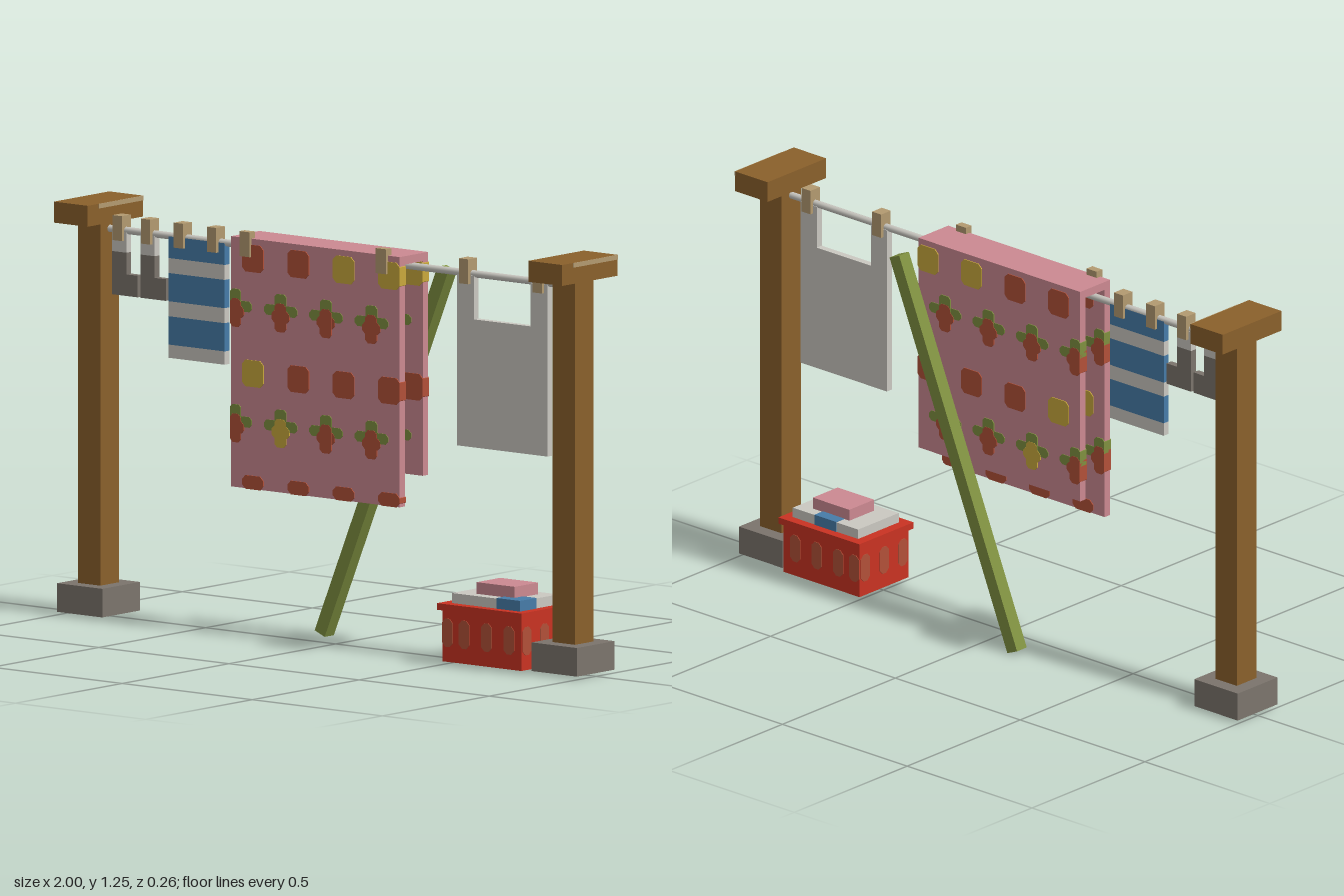
import * as THREE from 'three';

const mat = (name, color) => {
  const m = new THREE.MeshStandardMaterial({ color });
  m.name = name;
  return m;
};

export function createModel() {
  const M = {
    wood: mat('wood', 0x8a602b), stone: mat('stone grey', 0x7b746c),
    cloth: mat('pale cloth', 0xcac8c1), blue: mat('blue', 0x477ca8),
    pink: mat('pink', 0xcb8991), red: mat('basket red', 0xc93222),
    rust: mat('rust', 0xb25038), green: mat('olive green', 0x7f9040),
    yellow: mat('mustard', 0xc9a83c), tan: mat('peg tan', 0xb39a70),
  };
  const root = new THREE.Group();
  root.name = 'clothesline';

  const add = (name, geo, m, parent = root) => {
    const mesh = new THREE.Mesh(geo, m);
    mesh.name = name;
    parent.add(mesh);
    return mesh;
  };
  // Box given by its limits on each axis
  const box = (name, m, x0, x1, y0, y1, z0, z1, parent = root) => {
    const mesh = add(name, new THREE.BoxGeometry(x1 - x0, y1 - y0, z1 - z0), m, parent);
    mesh.position.set((x0 + x1) / 2, (y0 + y1) / 2, (z0 + z1) / 2);
    return mesh;
  };
  // Flat outline extruded between z0 and z1
  const slab = (name, m, pts, z0, z1, parent = root) => {
    const shape = new THREE.Shape(pts.map(([x, y]) => new THREE.Vector2(x, y)));
    const mesh = add(name, new THREE.ExtrudeGeometry(shape, { depth: z1 - z0, bevelEnabled: false }), m, parent);
    mesh.position.z = z0;
    return mesh;
  };
  // Rectangle outline with cut corners
  const octagon = (x0, x1, y0, y1, c) => [
    [x0 + c, y0], [x1 - c, y0], [x1, y0 + c], [x1, y1 - c],
    [x1 - c, y1], [x0 + c, y1], [x0, y1 - c], [x0, y0 + c]];

  // Posts with stone feet and cross caps
  for (const s of [-1, 1]) {
    const post = new THREE.Group();
    post.name = s < 0 ? 'rightPost' : 'leftPost';
    root.add(post);
    const cx = s * 0.912;
    box('foot', M.stone, cx - 0.087, cx + 0.087, 0.01, 0.096, -0.088, 0.088, post);
    box('shaft', M.wood, cx - 0.043, cx + 0.043, 0.096, 1.19, -0.043, 0.043, post);
    box('cap', M.wood, cx - 0.065, cx + 0.065, 1.187, 1.25, -0.13, 0.13, post);
    box('capWornEdge', M.tan, cx + 0.064, cx + 0.067, 1.236, 1.25, -0.13, 0.08, post);
  }

  // Line
  const line = add('line', new THREE.CylinderGeometry(0.011, 0.011, 1.76, 8), M.cloth);
  line.rotation.z = Math.PI / 2;
  line.position.y = 1.165;

  // Pegs on the line, and two clipped to the blanket front
  for (const x of [-0.823, -0.714, -0.588, -0.46, 0.508, 0.791])
    box('peg', M.tan, x - 0.018, x + 0.018, 1.135, 1.21, -0.021, 0.021);
  for (const x of [-0.289, 0.235])
    box('blanketPeg', M.tan, x - 0.02, x + 0.02, 1.145, 1.22, 0.05, 0.075);

  // Socks
  for (const x of [-0.85, -0.742]) {
    slab('sock', M.stone, [[x, 0.97], [x + 0.098, 0.97], [x + 0.098, 1.035],
      [x + 0.055, 1.035], [x + 0.055, 1.1], [x, 1.1]], -0.011, 0.011);
    box('sockCuff', M.cloth, x, x + 0.055, 1.1, 1.16, -0.011, 0.011);
  }

  // Striped towel, one box per stripe
  const stripes = [1.165, 1.1, 1.055, 0.97, 0.925, 0.84, 0.8];
  for (let i = 0; i < 6; i++)
    box('towelStripe', i % 2 ? M.cloth : M.blue, -0.633, -0.418, stripes[i + 1], stripes[i], -0.011, 0.011);

  // Vest with a square neck
  slab('vest', M.cloth, [[0.476, 0.645], [0.823, 0.645], [0.823, 1.16], [0.757, 1.16],
    [0.757, 1.03], [0.54, 1.03], [0.54, 1.16], [0.476, 1.16]], -0.011, 0.011);

  // Folded blanket: two hanging panels and a top
  const X0 = -0.348, X1 = 0.3;
  const { red, rust, yellow, green } = M;
  const squareRows = [
    [1.1, 1.182, [rust, rust, yellow, yellow]],
    [0.755, 0.835, [yellow, rust, rust, rust]],
    [0.41, 0.488, [rust, rust, rust, rust]]];
  const flowerRows = [[0.99, [rust, rust, rust, rust]], [0.643, [rust, yellow, rust, rust]]];
  const blanket = new THREE.Group();
  blanket.name = 'blanket';
  root.add(blanket);
  box('blanketTop', M.pink, X0, X1, 1.175, 1.2, -0.042, 0.042, blanket);
  for (const [name, bottom, z0, z1] of [['frontPanel', 0.448, 0.042, 0.066], ['backPanel', 0.53, -0.066, -0.042]]) {
    const panel = new THREE.Group();
    panel.name = name;
    blanket.add(panel);
    box('panelCloth', M.pink, X0, X1, bottom, 1.2, z0, z1, panel);
    // Patches stand slightly proud of both faces of the panel
    const patch = (label, m, x0, x1, y0, y1, c, t) => {
      x0 = Math.max(x0, X0 - 0.001); x1 = Math.min(x1, X1 + 0.003);
      y0 = Math.max(y0, bottom - 0.001);
      if (y1 - y0 > 0.01)
        slab(label, m, octagon(x0, x1, y0, y1, Math.min(c, (x1 - x0) / 3, (y1 - y0) / 3)), z0 - t, z1 + t, panel);
    };
    for (const [y0, y1, mats] of squareRows)
      mats.forEach((m, i) => {
        const x = -0.263 + i * 0.1745;
        patch('squarePatch', m, x - 0.041, x + 0.041, y0, y1, 0.013, 0.003);
      });
    for (const [y, mats] of flowerRows)
      mats.forEach((m, i) => {
        const x = -0.331 + i * 0.1745;
        patch('leafBar', green, x - 0.064, x + 0.064, y - 0.012, y + 0.02, 0.01, 0.002);
        patch('leafTip', green, x - 0.022, x + 0.022, y, y + 0.054, 0.008, 0.003);
        patch('flowerHead', m, x - 0.022, x + 0.022, y - 0.06, y + 0.026, 0.01, 0.004);
        patch('flowerPetals', m, x - 0.034, x + 0.034, y - 0.032, y + 0.004, 0.01, 0.0035);
      });
  }

  // Leaning prop pole
  const pole = add('propPole', new THREE.BoxGeometry(0.042, 1.233, 0.043), M.green);
  pole.position.set(0.104, 0.578, -0.107);
  pole.rotation.z = -0.393;

  // Laundry basket with painted slots
  const basket = new THREE.Group();
  basket.name = 'basket';
  root.add(basket);
  box('basketBody', red, 0.498, 0.802, 0.01, 0.17, -0.108, 0.108, basket);
  box('basketRim', red, 0.488, 0.812, 0.165, 0.185, -0.12, 0.12, basket);
  for (const x of [0.519, 0.583, 0.669, 0.755])
    slab('slot', rust, octagon(x - 0.02, x + 0.02, 0.055, 0.14, 0.012), -0.11, 0.11, basket);
  for (const z of [-0.083, 0, 0.083]) {
    const slot = slab('endSlot', rust, octagon(z - 0.02, z + 0.02, 0.055, 0.14, 0.012), -0.154, 0.154, basket);
    slot.rotation.y = Math.PI / 2;
    slot.position.set(0.496, 0, 0);
  }

  // Folded laundry in the basket
  box('foldedSheet', M.cloth, 0.52, 0.782, 0.18, 0.215, -0.09, 0.09, basket);
  box('blueFoldFront', M.blue, 0.693, 0.784, 0.18, 0.217, 0.015, 0.092, basket);
  box('blueFoldBack', M.blue, 0.607, 0.693, 0.18, 0.217, -0.092, -0.03, basket);
  box('foldedBlanket', M.pink, 0.587, 0.733, 0.21, 0.25, -0.055, 0.055, basket);

  return root;
}
